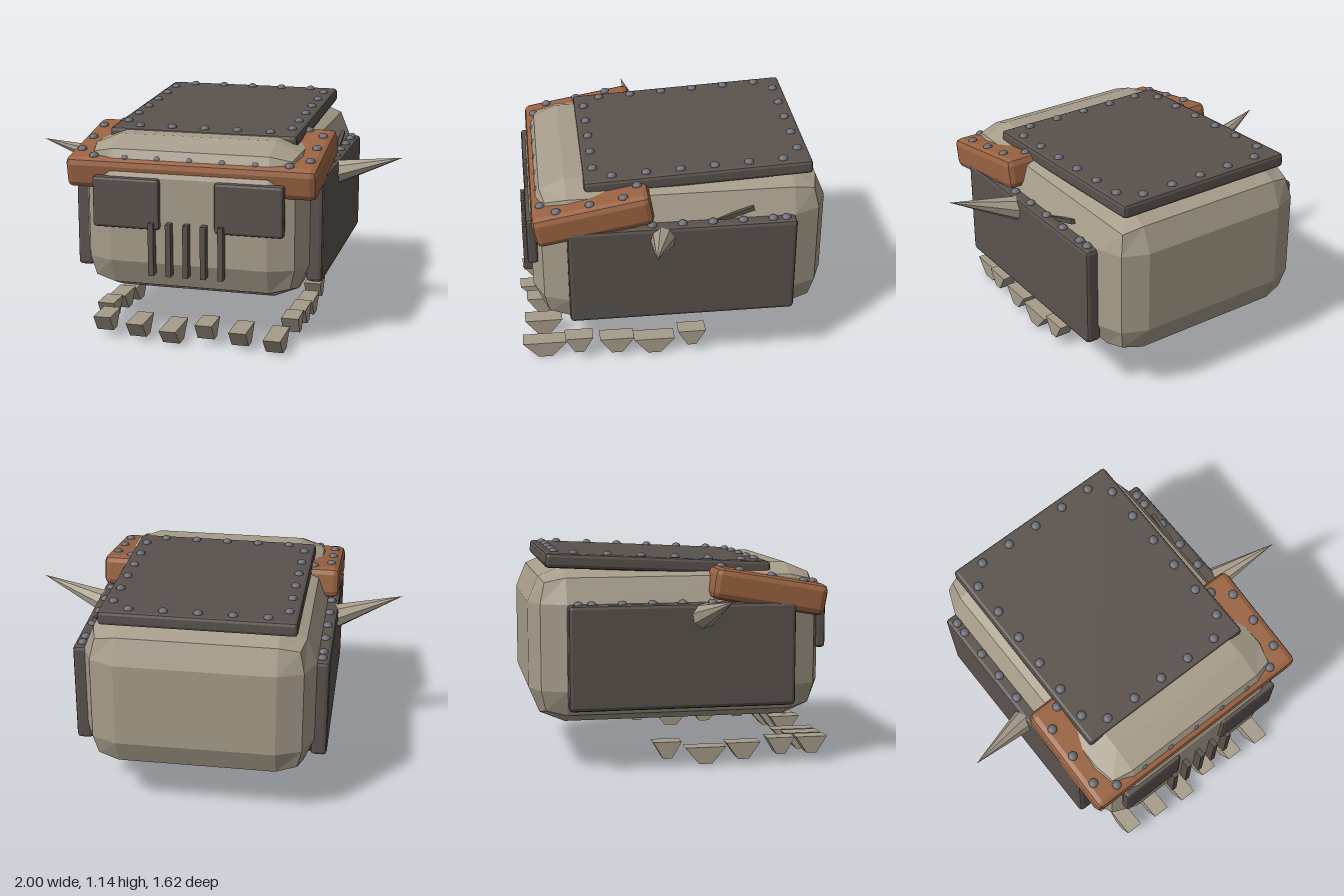
import * as THREE from 'three';
import { RoundedBoxGeometry } from 'three/addons/geometries/RoundedBoxGeometry.js';

const mat = (name, color, flatShading = true) => {
  const m = new THREE.MeshStandardMaterial({ color, flatShading });
  m.name = name;
  return m;
};

export function createModel() {
  const root = new THREE.Group();
  root.name = 'armouredHead';
  const bone = mat('bone', 0xa69c8a);
  const iron = mat('dark iron', 0x5a524d);
  const leather = mat('rust brown', 0x9a6342);
  const steel = mat('rivet steel', 0x6c6d75, false);

  const add = (parent, name, geo, material, x = 0, y = 0, z = 0) => {
    const m = new THREE.Mesh(geo, material);
    m.name = name;
    m.position.set(x, y, z);
    parent.add(m);
    return m;
  };
  // box with two-step bevelled edges
  const bevelBox = (w, h, d, r) => new RoundedBoxGeometry(w, h, d, 1, r);

  // bevelled plate with rivets around the edge of its top face
  const rivetGeo = new THREE.SphereGeometry(0.025, 10, 8).scale(1, 0.75, 1);
  const rivetedPlate = (name, [w, h, d], r, material, [x, y, z], tilt, [nx, dx], [nz, dz]) => {
    const g = new THREE.Group();
    g.name = name;
    g.position.set(x, y, z);
    g.rotation.x = tilt;
    add(g, name + 'Slab', bevelBox(w, h, d, r), material);
    const ex = Math.max(0, w / 2 - 0.055), ez = d / 2 - 0.055;
    for (const s of [-1, 1]) {
      for (let i = 0; i < nx; i++) add(g, 'rivet', rivetGeo, steel, (i - (nx - 1) / 2) * dx, h / 2, s * ez);
      if (ex === 0 && s > 0) continue;
      for (let i = 0; i < nz; i++) add(g, 'rivet', rivetGeo, steel, s * ex, h / 2, (i - (nz - 1) / 2) * dz);
    }
    root.add(g);
  };

  // main body
  add(root, 'body', bevelBox(1.19, 0.815, 1.54, 0.185), bone, 0, 0.6525, -0.04);

  // roof plate and brow
  rivetedPlate('roofPlate', [1, 0.075, 1.175], 0.018, iron, [0, 1.062, -0.137], 0.05, [5, 0.175], [6, 0.176]);
  rivetedPlate('brow', [1.31, 0.165, 0.61], 0.035, leather, [0, 0.925, 0.415], 0.175, [7, 0.17], [3, 0.172]);

  for (const s of [-1, 1]) {
    // cheek plates and eye plates
    rivetedPlate('sidePlate', [0.085, 0.54, 1.176], 0.02, iron, [s * 0.617, 0.605, -0.038], 0, [1, 0], [7, 0.155]);
    add(root, 'eyePlate', bevelBox(0.355, 0.265, 0.055, 0.015), iron, s * 0.32, 0.742, 0.725);

    // horns
    const base = new THREE.Vector3(s * 0.64, 0.81, 0.065);
    const dir = new THREE.Vector3(s, 0.92, 0.135).sub(base);
    const len = dir.length();
    const horn = add(root, 'horn', new THREE.ConeGeometry(0.066, len, 8).translate(0, len / 2, 0), bone, ...base.toArray());
    horn.quaternion.setFromUnitVectors(new THREE.Vector3(0, 1, 0), dir.normalize());
  }

  // grille bars
  for (let i = -2; i <= 2; i++) {
    add(root, 'grilleBar', new THREE.BoxGeometry(0.028, 0.275, 0.05), iron, i * 0.091, 0.513, 0.75);
  }

  // small lever beside the roof
  const lever = add(root, 'lever', new THREE.BoxGeometry(0.02, 0.022, 0.2), iron, 0.592, 0.897, -0.312);
  lever.rotation.x = 0.32;

  // teeth: blocks narrowing downwards along z
  const tooth = (length, top, x, z) => {
    const geo = new THREE.BoxGeometry(0.09, 0.088, length);
    const p = geo.attributes.position;
    for (let i = 0; i < p.count; i++) if (p.getY(i) < 0) p.setZ(i, p.getZ(i) * 0.32);
    geo.computeVertexNormals();
    add(root, 'tooth', geo, bone, x, top - 0.044, z);
  };
  const lengths = [0.15, 0.183, 0.218], tops = [0.14, 0.122, 0.104];
  for (let i = 0; i < 6; i++) tooth(lengths[i % 3] + 0.02, tops[i % 3] - 0.011, -0.455 + i * 0.182, 0.687);
  for (let i = 0; i < 4; i++) {
    for (const s of [-1, 1]) tooth(lengths[i % 3], tops[i % 3], s * 0.5, 0.505 - i * 0.203);
  }
  return root;
}
